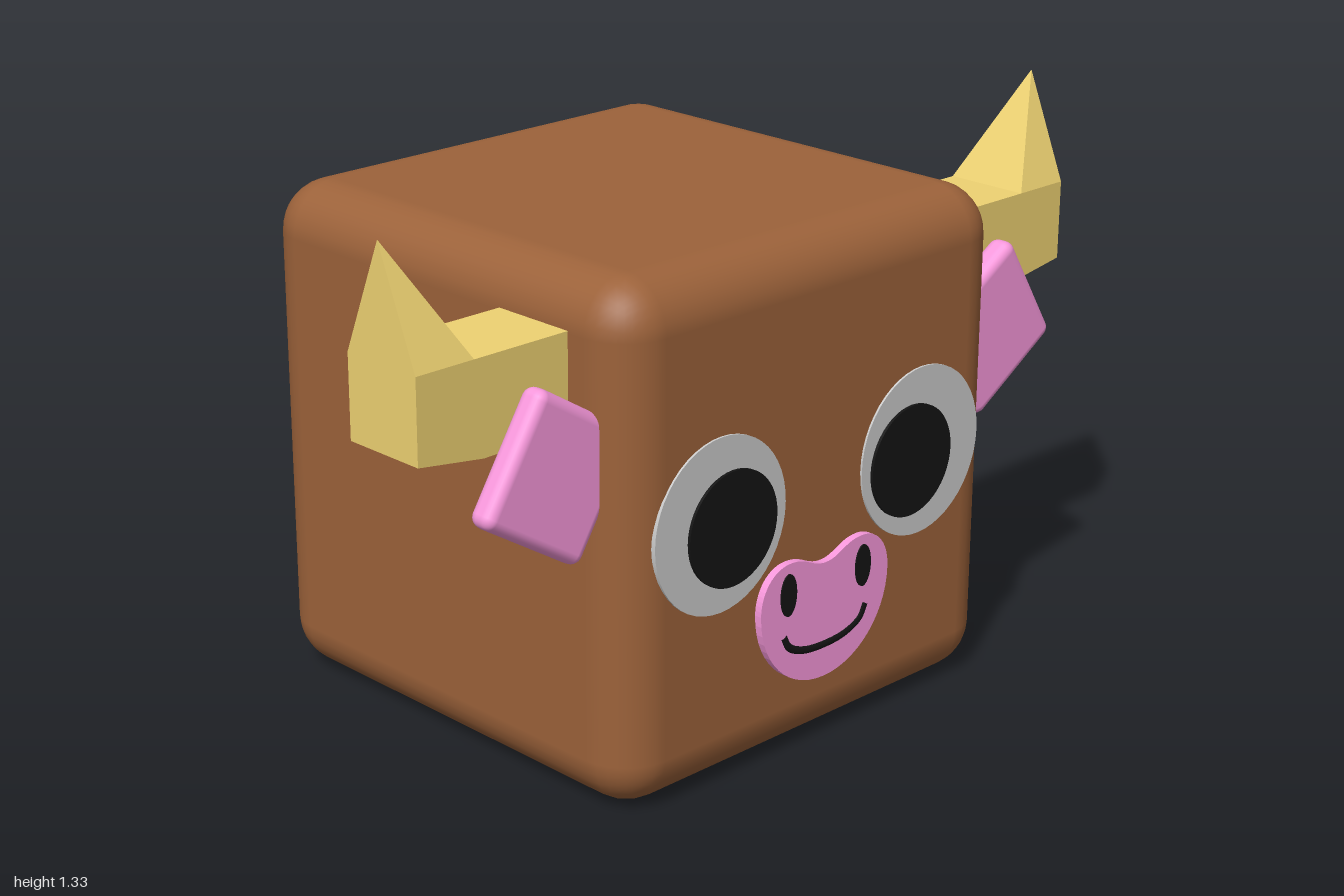
import * as THREE from 'three';
import { RoundedBoxGeometry } from 'three/addons/geometries/RoundedBoxGeometry.js';

const mat = (color, extra = {}) => new THREE.MeshStandardMaterial({ color, ...extra });
const brown = mat(0x9c623a);
const pink = mat(0xf898dc);
const gold = mat(0xeed272, { flatShading: true });
const grey = mat(0xcccccc);
const black = mat(0x141414);

const CX = -0.005; // middle of the head

function add(parent, name, geometry, material, x = 0, y = 0, z = 0) {
  const mesh = new THREE.Mesh(geometry, material);
  mesh.name = name;
  mesh.position.set(x, y, z);
  parent.add(mesh);
  return mesh;
}

// Flat disc facing +z, from z0 to z1
function disc(parent, name, material, x, y, rx, ry, z0, z1) {
  const geo = new THREE.CylinderGeometry(1, 1, z1 - z0, 48).rotateX(Math.PI / 2).scale(rx, ry, 1);
  return add(parent, name, geo, material, x, y, (z0 + z1) / 2);
}

// Horn: extruded arm plus a pyramid leaning to its outer side
function hornGeometry(side) {
  const z0 = 0.21, z1 = 0.42, zm = 0.315, top = 1.075;
  const profile = [[0.52, 0.86], [0.83, 0.86], [1, 0.885], [1, top], [0.85, top], [0.52, top]];
  const pos = [];
  const tri = (a, b, c) => pos.push(...a, ...(side > 0 ? b : c), ...(side > 0 ? c : b));
  const p = (i, z) => [profile[i % 6][0] * side, profile[i % 6][1], z];
  for (let i = 0; i < 6; i++) {
    if (i === 3) continue; // covered by the pyramid
    tri(p(i, z1), p(i, z0), p(i + 1, z0));
    tri(p(i, z1), p(i + 1, z0), p(i + 1, z1));
  }
  for (let i = 1; i < 5; i++) {
    tri(p(0, z1), p(i, z1), p(i + 1, z1));
    tri(p(0, z0), p(i + 1, z0), p(i, z0));
  }
  const tip = [side, 1.33, zm];
  const base = [p(4, z1), p(3, z1), p(3, z0), p(4, z0)];
  base.forEach((b, i) => tri(b, base[(i + 1) % 4], tip));
  const geo = new THREE.BufferGeometry();
  geo.setAttribute('position', new THREE.Float32BufferAttribute(pos, 3));
  geo.computeVertexNormals();
  return geo;
}

// Muzzle outline: round below, two lobes above with a dip between them
function muzzleGeometry() {
  const s = new THREE.Shape();
  s.moveTo(0, 0.445);
  s.bezierCurveTo(0.045, 0.445, 0.06, 0.475, 0.115, 0.475);
  s.bezierCurveTo(0.17, 0.475, 0.205, 0.43, 0.205, 0.375);
  s.bezierCurveTo(0.205, 0.26, 0.115, 0.17, 0, 0.17);
  s.bezierCurveTo(-0.115, 0.17, -0.205, 0.26, -0.205, 0.375);
  s.bezierCurveTo(-0.205, 0.43, -0.17, 0.475, -0.115, 0.475);
  s.bezierCurveTo(-0.06, 0.475, -0.045, 0.445, 0, 0.445);
  return new THREE.ExtrudeGeometry(s, { depth: 0.025, bevelEnabled: false, curveSegments: 14 });
}

export function createModel() {
  const model = new THREE.Group();
  model.name = 'cubeBull';

  add(model, 'head', new RoundedBoxGeometry(1.19, 1.19, 1.19, 4, 0.12), brown, CX, 0.595, -0.01);

  for (const side of [1, -1]) {
    const label = side > 0 ? 'left' : 'right';
    add(model, label + 'Horn', hornGeometry(side), gold);

    const ear = add(model, label + 'Ear', new RoundedBoxGeometry(0.305, 0.305, 0.065, 3, 0.025),
      pink, side * 0.685 - 0.008, 0.798, 0.472);
    ear.rotation.z = side * 0.56;

    disc(model, label + 'Eye', grey, side * 0.318 - 0.003, 0.618, 0.196, 0.2, 0.575, 0.59);
    disc(model, label + 'Pupil', black, side * 0.285 - 0.005, 0.604, 0.132, 0.132, 0.58, 0.597);
    disc(model, label + 'Nostril', black, side * 0.12 + CX, 0.402, 0.025, 0.05, 0.595, 0.606);
  }

  add(model, 'muzzle', muzzleGeometry(), pink, CX, 0, 0.578);

  // Smile: flattened tube lying on the muzzle
  const path = new THREE.CatmullRomCurve3(
    [[-0.132, 0.306], [-0.115, 0.276], [-0.07, 0.255], [0, 0.248], [0.07, 0.255], [0.115, 0.276], [0.132, 0.306]]
      .map(([x, y]) => new THREE.Vector3(x, y, 0)));
  const smile = new THREE.TubeGeometry(path, 40, 0.009, 8).scale(1, 1, 0.4);
  add(model, 'smile', smile, black, CX, 0, 0.603);

  return model;
}
